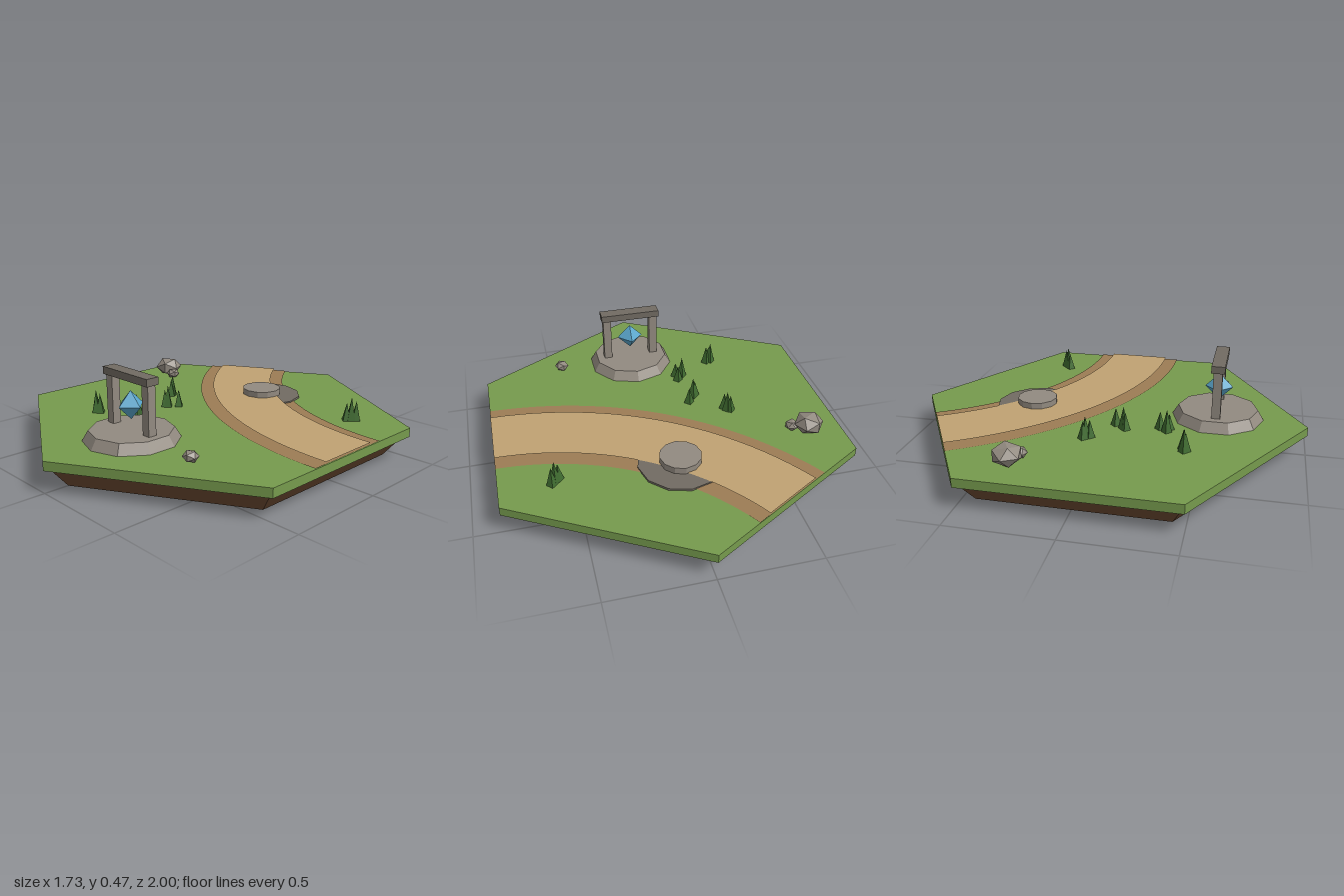
import * as THREE from 'three';

const mat = (color, extra = {}) => new THREE.MeshStandardMaterial({ color, flatShading: true, ...extra });
const GRASS = mat(0x769a4d), DIRT = mat(0x6b4a32), ROAD = mat(0xc0a272, { side: THREE.DoubleSide });
const VERGE = mat(0x9c7c54, { side: THREE.DoubleSide }), STONE = mat(0x928a80), DARK = mat(0x716b62);
const GEM = mat(0x5aa6cc), TUFT = mat(0x3f6b30);
const GROUND = 0.15;

export function createModel() {
  const model = new THREE.Group();

  function add(name, geometry, material, x, y, z, parent = model) {
    const mesh = new THREE.Mesh(geometry, material);
    mesh.name = name;
    mesh.position.set(x, y, z);
    parent.add(mesh);
    return mesh;
  }
  // Prism or frustum standing between two heights
  function prism(name, material, rTop, rBottom, sides, y0, y1, x, z, parent) {
    const geometry = new THREE.CylinderGeometry(rTop, rBottom, y1 - y0, sides);
    return add(name, geometry, material, x, (y0 + y1) / 2, z, parent);
  }

  // Hexagonal tile
  prism('dirtBase', DIRT, 0.97, 0.88, 6, 0, 0.105, 0, 0);
  prism('grassTop', GRASS, 1, 1, 6, 0.105, GROUND, 0, 0);

  // Curved road: arcs around the point where the two crossed edges would meet
  function arc(name, material, halfWidth, y) {
    const geometry = new THREE.RingGeometry(1.5 - halfWidth, 1.5 + halfWidth, 24, 1, Math.PI * 7 / 6, Math.PI / 3);
    geometry.rotateX(-Math.PI / 2);
    add(name, geometry, material, 0.866, y, -1.5);
  }
  arc('roadVerge', VERGE, 0.235, 0.154);
  arc('roadSurface', ROAD, 0.165, 0.164);

  // Stepped stone discs beside the road
  prism('lowerDisc', DARK, 0.21, 0.21, 12, GROUND, 0.161, 0, -0.39);
  prism('upperDisc', STONE, 0.103, 0.103, 12, 0.16, 0.195, 0, -0.39);

  // Shrine: pedestal, gate and floating gem
  const shrine = new THREE.Group();
  shrine.name = 'shrine';
  shrine.position.set(0.046, 0, 0.553);
  model.add(shrine);
  prism('pedestal', STONE, 0.2, 0.23, 10, GROUND, 0.2, 0, 0, shrine);
  for (const side of [-1, 1]) {
    add(side > 0 ? 'leftPost' : 'rightPost', new THREE.BoxGeometry(0.043, 0.24, 0.043), STONE, side * 0.13, 0.318, 0, shrine);
  }
  add('lintel', new THREE.BoxGeometry(0.32, 0.036, 0.066), DARK, 0, 0.454, 0, shrine);
  add('gem', new THREE.OctahedronGeometry(0.069), GEM, 0, 0.314, 0, shrine);

  // Rocks: x, y, z, radius, vertical squash, turn
  const rocks = [
    [-0.69, 0.2, -0.31, 0.076, 0.72, 0.5],
    [-0.615, 0.176, -0.278, 0.038, 0.75, 1.2],
    [0.445, 0.176, 0.55, 0.038, 0.75, 0.3],
  ];
  for (const [x, y, z, r, squash, turn] of rocks) {
    const rock = add('rock', new THREE.IcosahedronGeometry(r), STONE, x, y, z);
    rock.scale.y = squash;
    rock.rotation.y = turn;
  }

  // Grass tufts: clusters of four-sided blades, each as x, z, height
  const tufts = [
    [[0.583, -0.373, 0.09], [0.6, -0.388, 0.12], [0.617, -0.405, 0.1]],
    [[-0.362, -0.05, 0.09], [-0.347, -0.042, 0.11], [-0.337, -0.022, 0.09]],
    [[-0.172, 0.07, 0.09]],
    [[-0.205, 0.115, 0.115], [-0.217, 0.126, 0.09]],
    [[-0.169, 0.29, 0.09], [-0.2, 0.327, 0.115], [-0.166, 0.335, 0.08]],
    [[-0.39, 0.442, 0.09], [-0.398, 0.435, 0.115], [-0.372, 0.43, 0.1]],
  ];
  for (const blades of tufts) {
    const tuft = new THREE.Group();
    tuft.name = 'grassTuft';
    model.add(tuft);
    for (const [x, z, h] of blades) {
      add('blade', new THREE.ConeGeometry(0.027, h, 4), TUFT, x, GROUND + h / 2, z, tuft);
    }
  }

  return model;
}
